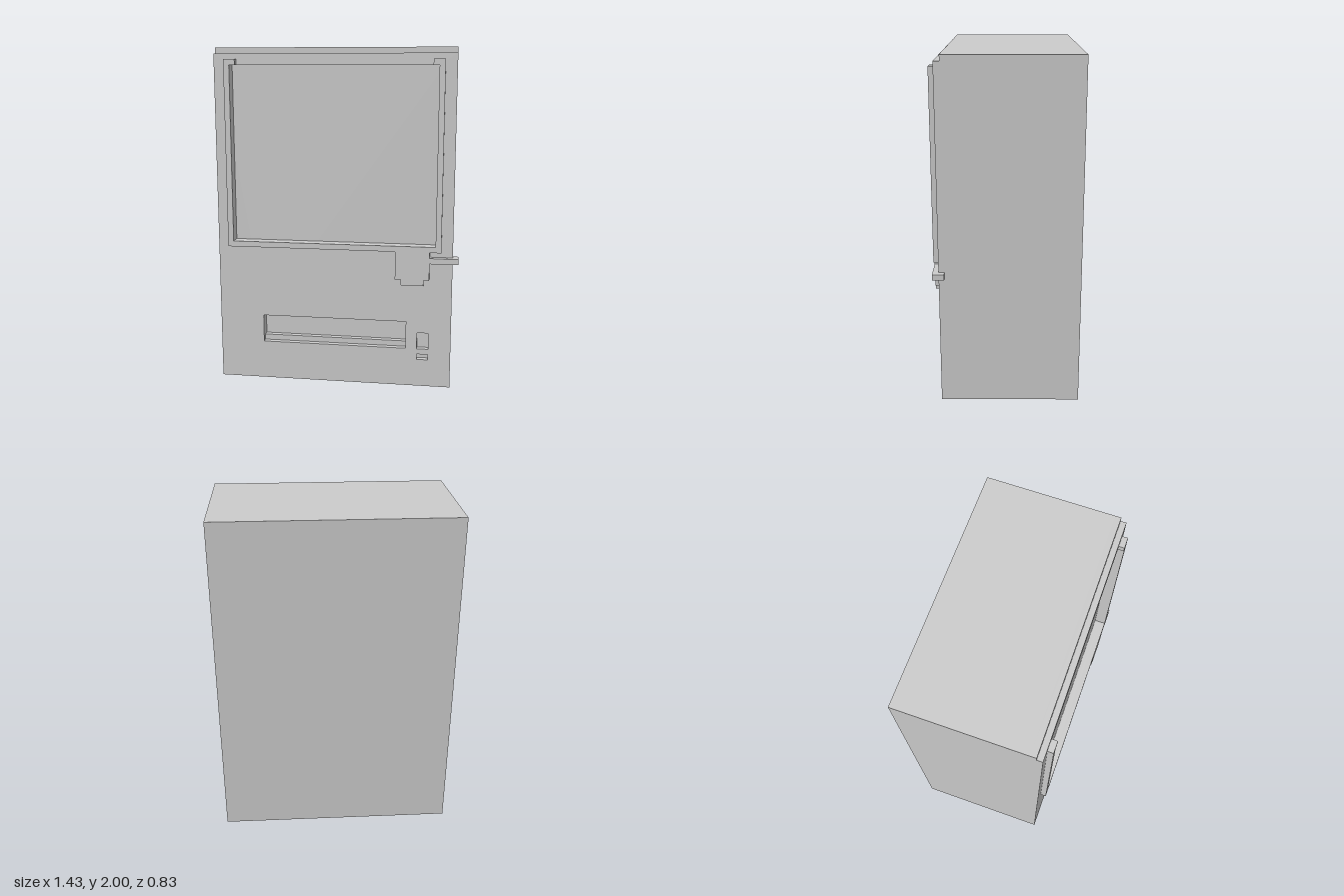
import * as THREE from 'three';

// Everything sits on a coarse grid: 30 cells per unit, measured from the
// cabinet's lower, back, -x corner.
const CELL = 1 / 30;
const material = new THREE.MeshStandardMaterial({ color: 0xcccccc, flatShading: true });

function place(geometry, name) {
  geometry.translate(-21.5, 0, -12.5).scale(CELL, CELL, CELL);
  const mesh = new THREE.Mesh(geometry, material);
  mesh.name = name;
  return mesh;
}

function box(name, x0, x1, y0, y1, z0, z1) {
  const g = new THREE.BoxGeometry(x1 - x0, y1 - y0, z1 - z0);
  g.translate((x0 + x1) / 2, (y0 + y1) / 2, (z0 + z1) / 2);
  return place(g, name);
}

const points = (list) => list.map(([x, y]) => new THREE.Vector2(x, y));
const rect = (x0, x1, y0, y1) => points([[x0, y0], [x1, y0], [x1, y1], [x0, y1]]);

// One-cell-thick sheet with rectangular openings
function sheet(name, outline, z, holes = []) {
  const shape = new THREE.Shape(outline);
  for (const h of holes) shape.holes.push(new THREE.Path(rect(...h).reverse()));
  const g = new THREE.ExtrudeGeometry(shape, { depth: 1, bevelEnabled: false });
  g.translate(0, 0, z);
  return place(g, name);
}

export function createModel() {
  const model = new THREE.Group();
  model.name = 'vendingMachine';

  // Cabinet: solid back, inner layer with the deep tray, front panel a step lower
  model.add(box('cabinet', 0, 42, 0, 60, 0, 22));
  model.add(sheet('innerPanel', rect(0, 42, 0, 60), 22, [[8, 34, 8, 12]]));
  model.add(sheet('frontPanel', rect(0, 42, 0, 59), 23, [
    [3, 39, 26, 57], // display window
    [8, 34, 7, 12], // dispensing tray
    [36, 38, 7, 10], // change return
    [36, 38, 5, 6], // lower slot
  ]));

  // Raised window frame with hooked upper ends and the coin plate below
  model.add(sheet('windowFrame', points([
    [2, 25], [32, 25], [32, 20], [33, 20], [33, 19], [37, 19], [37, 20], [38, 20],
    [38, 25], [40, 25], [40, 58], [38, 58], [38, 57], [39, 57], [39, 26],
    [3, 26], [3, 57], [4, 57], [4, 58], [2, 58],
  ]), 24));

  // Latch bar wrapping around the front edge
  model.add(box('latchBar', 38, 42, 23, 24, 24, 25));
  model.add(box('latchTip', 42, 43, 23, 24, 23, 25));

  return model;
}
